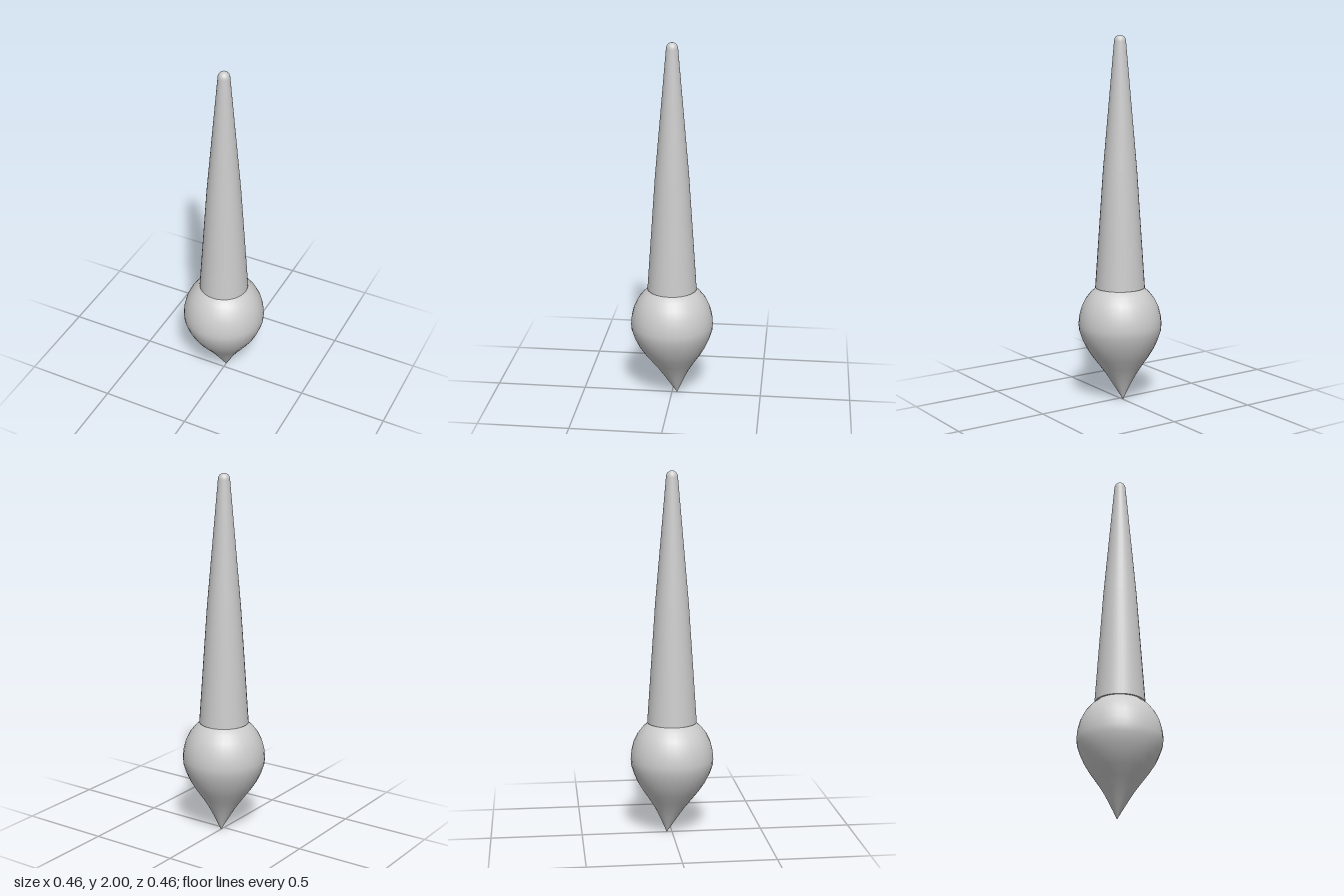
import * as THREE from 'three';

const SIDES = 32;
const material = new THREE.MeshStandardMaterial({ color: 0xcccccc });

function lathe(name, points) {
  const geometry = new THREE.LatheGeometry(points.map(([r, y]) => new THREE.Vector2(r, y)), SIDES);
  const mesh = new THREE.Mesh(geometry, material);
  mesh.name = name;
  return mesh;
}

export function createModel() {
  const group = new THREE.Group();
  group.name = 'paintbrush';

  // Bristles: concave point swelling into a round belly, closed inside the handle
  const profile = [
    [0, 0.005], [0.022, 0.045], [0.053, 0.1], [0.083, 0.15], [0.118, 0.2], [0.155, 0.25], [0.187, 0.3],
    [0.21, 0.35], [0.225, 0.395], [0.228, 0.43], [0.224, 0.475], [0.211, 0.525],
    [0.189, 0.57], [0.16, 0.607], [0.124, 0.637], [0.07, 0.66], [0, 0.668],
  ];
  const bristles = lathe('bristles', profile);

  // Sweep the point gently towards the back
  const position = bristles.geometry.attributes.position;
  for (let i = 0; i < position.count; i++) {
    const t = Math.max(0, (0.42 - position.getY(i)) / 0.42);
    position.setZ(i, position.getZ(i) - 0.03 * t * t);
  }
  bristles.geometry.computeVertexNormals();

  // Average the normals across the lathe seam
  const normal = bristles.geometry.attributes.normal;
  const rows = profile.length;
  const a = new THREE.Vector3();
  const b = new THREE.Vector3();
  for (let j = 0; j < rows; j++) {
    const k = SIDES * rows + j;
    a.fromBufferAttribute(normal, j).add(b.fromBufferAttribute(normal, k)).normalize();
    normal.setXYZ(j, a.x, a.y, a.z);
    normal.setXYZ(k, a.x, a.y, a.z);
  }
  group.add(bristles);

  // Handle: slow taper, then a faster one, ending in a domed tip
  const handleProfile = [[0.136, 0.635], [0.092, 1.28], [0.032, 1.965]];
  for (let i = 1; i <= 6; i++) {
    const angle = (i / 6) * Math.PI / 2;
    handleProfile.push([0.032 * Math.cos(angle), 1.965 + 0.035 * Math.sin(angle)]);
  }
  group.add(lathe('handle', handleProfile));

  // Flat underside of the handle
  const base = new THREE.Mesh(new THREE.CircleGeometry(0.136, SIDES), material);
  base.name = 'handleBase';
  base.rotation.x = Math.PI / 2;
  base.position.y = 0.635;
  group.add(base);

  group.position.y = -0.005;
  const model = new THREE.Group();
  model.name = 'brush';
  model.add(group);
  return model;
}
